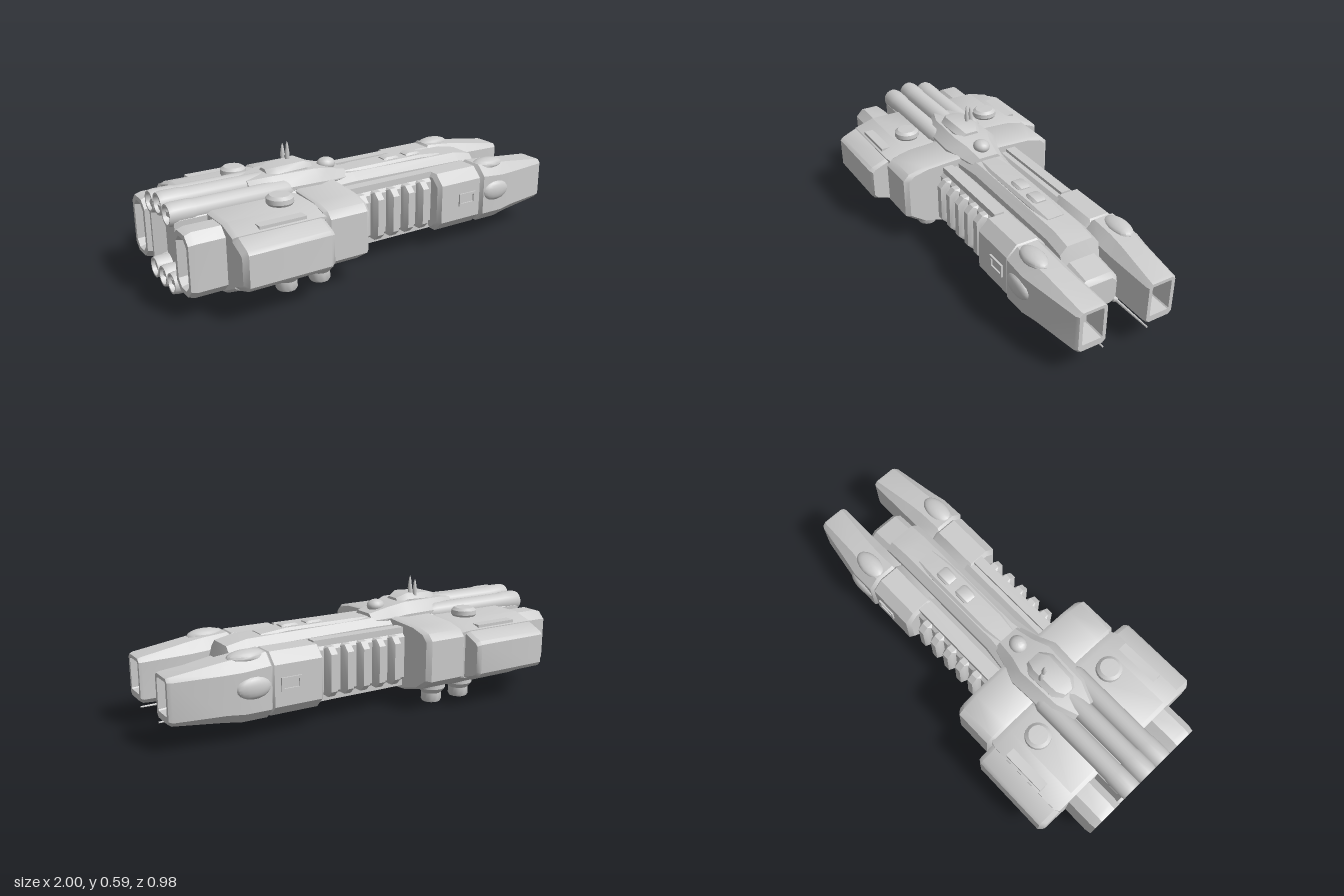
import * as THREE from 'three';
import { toCreasedNormals } from 'three/addons/utils/BufferGeometryUtils.js';

const mat = new THREE.MeshStandardMaterial({ color: 0xcccccc });

// Chamfered rectangle in (z, y), counter-clockwise
const rect = (z0, z1, y0, y1, c) => [
  [z1, y0 + c], [z1, y1 - c], [z1 - c, y1], [z0 + c, y1],
  [z0, y1 - c], [z0, y0 + c], [z0 + c, y0], [z1 - c, y0],
];
// Shrinks a cross-section about a centre, for bevelled ends
const shrink = (pts, k, cz, cy) => pts.map(([z, y]) => [cz + (z - cz) * k, cy + (y - cy) * k]);

// Skin over cross-sections [x, points] or [x, z0, z1, y0, y1, chamfer]
function loft(sections) {
  const rings = sections.map(s => [s[0], Array.isArray(s[1]) ? s[1] : rect(...s.slice(1))]);
  const n = rings[0][1].length, pos = [], idx = [];
  for (const [x, pts] of rings) for (const [z, y] of pts) pos.push(x, y, z);
  for (let i = 0; i < rings.length - 1; i++) {
    for (let j = 0; j < n; j++) {
      const a = i * n + j, b = i * n + (j + 1) % n, c = a + n, d = b + n;
      idx.push(a, c, d, a, d, b);
    }
  }
  const e = (rings.length - 1) * n;
  for (let j = 1; j < n - 1; j++) idx.push(0, j, j + 1, e, e + j + 1, e + j);
  const g = new THREE.BufferGeometry();
  g.setAttribute('position', new THREE.Float32BufferAttribute(pos, 3));
  g.setIndex(idx);
  return g;
}

// Mirrored copy across the centre plane with corners reordered
function mirrored(geo) {
  const g = geo.clone().scale(1, 1, -1), ix = g.index;
  for (let i = 0; i < ix.count; i += 3) {
    const a = ix.getX(i);
    ix.setX(i, ix.getX(i + 2));
    ix.setX(i + 2, a);
  }
  return g;
}

export function createModel() {
  const ship = new THREE.Group();
  ship.name = 'spaceship';
  const add = (name, geo) => {
    const m = new THREE.Mesh(toCreasedNormals(geo, 0.6), mat);
    m.name = name;
    ship.add(m);
  };
  const pair = (name, geo) => {
    add(name + 'Left', geo);
    add(name + 'Right', mirrored(geo));
  };
  const box = (x0, x1, y0, y1, z0, z1) => new THREE.BoxGeometry(x1 - x0, y1 - y0, z1 - z0)
    .translate((x0 + x1) / 2, (y0 + y1) / 2, (z0 + z1) / 2);
  const lathe = (pts, x, y, z) => new THREE.LatheGeometry(
    pts.map(p => new THREE.Vector2(...p)), 20).translate(x, y, z);

  // Central hull with a stepped snout
  add('hull', loft([
    [-0.45, -0.12, 0.12, 0.05, 0.42, 0.04], [-0.2, -0.12, 0.12, 0.05, 0.42, 0.04],
    [-0.06, -0.1, 0.1, 0.08, 0.41, 0.035], [0.56, -0.1, 0.1, 0.08, 0.4, 0.035],
    [0.66, -0.1, 0.1, 0.09, 0.38, 0.035], [0.68, -0.095, 0.095, 0.1, 0.31, 0.03],
    [0.8, -0.095, 0.095, 0.12, 0.29, 0.03], [0.82, -0.085, 0.085, 0.14, 0.27, 0.025],
  ]));
  add('hullSpine', loft([
    [-0.1, -0.05, 0.05, 0.38, 0.415, 0.012], [0.0, -0.06, 0.06, 0.38, 0.42, 0.012],
    [0.35, -0.06, 0.06, 0.38, 0.42, 0.012], [0.48, -0.05, 0.05, 0.38, 0.405, 0.01],
  ]));
  for (const x of [0.15, 0.28]) {
    add('spineHatch', loft([
      [x, -0.03, 0.03, 0.4, 0.425, 0.008], [x + 0.015, -0.035, 0.035, 0.4, 0.432, 0.01],
      [x + 0.07, -0.035, 0.035, 0.4, 0.432, 0.01], [x + 0.085, -0.03, 0.03, 0.4, 0.425, 0.008],
    ]));
  }

  // Forward arms: recessed rib bay, armoured block and tapering hollow prong
  pair('armCore', loft([
    [-0.22, 0.1, 0.22, 0.11, 0.37, 0.03], [0.32, 0.1, 0.22, 0.11, 0.37, 0.03],
  ]));
  pair('armBlock', loft([
    [0.29, 0.09, 0.27, 0.11, 0.36, 0.04], [0.305, 0.09, 0.29, 0.09, 0.38, 0.05],
    [0.54, 0.09, 0.29, 0.09, 0.38, 0.05], [0.555, 0.09, 0.275, 0.1, 0.365, 0.045],
  ]));
  pair('armProng', loft([
    [0.545, 0.1, 0.28, 0.1, 0.37, 0.045], [0.56, 0.1, 0.3, 0.09, 0.385, 0.05],
    [0.68, 0.1, 0.3, 0.09, 0.375, 0.05], [0.76, 0.1, 0.285, 0.1, 0.365, 0.045],
    [0.985, 0.1, 0.25, 0.125, 0.335, 0.02], [1, 0.105, 0.24, 0.135, 0.33, 0.015],
    [1, 0.122, 0.222, 0.165, 0.315, 0.005], [0.9, 0.128, 0.215, 0.175, 0.305, 0.005],
  ]));
  pair('armBlister', new THREE.SphereGeometry(1, 16, 10).scale(0.08, 0.05, 0.025).translate(0.64, 0.25, 0.295));
  pair('armTopBlister', new THREE.SphereGeometry(1, 16, 10).scale(0.09, 0.03, 0.05).translate(0.64, 0.37, 0.22));
  // Raised frame on the outer face of each arm block
  for (const y of [0.215, 0.265]) pair('portFrame', box(0.41, 0.51, y - 0.006, y + 0.006, 0.28, 0.298));
  for (const x of [0.416, 0.504]) pair('portFrame', box(x - 0.006, x + 0.006, 0.215, 0.265, 0.28, 0.298));

  // Ribs and rails in the arm bays
  for (let i = 0; i < 5; i++) {
    const x = -0.15 + i * 0.087;
    pair('rib', loft([
      [x, 0.15, 0.245, 0.13, 0.345, 0.03], [x + 0.012, 0.15, 0.265, 0.12, 0.355, 0.03],
      [x + 0.045, 0.15, 0.265, 0.12, 0.355, 0.03], [x + 0.058, 0.15, 0.245, 0.13, 0.345, 0.03],
    ]));
  }
  pair('bayRail', box(-0.2, 0.3, 0.355, 0.385, 0.155, 0.205));
  pair('bayLowerRail', box(-0.2, 0.3, 0.095, 0.125, 0.155, 0.205));

  // Thin lances under the prongs
  pair('lance', new THREE.CylinderGeometry(0.004, 0.008, 0.25, 8).rotateZ(-Math.PI / 2).translate(0.875, 0.11, 0.115));
  pair('lanceMount', new THREE.SphereGeometry(0.02, 12, 8).scale(2, 1, 1).translate(0.76, 0.11, 0.115));

  // Wide shoulder block
  const shoulder = [[0.41, 0.16], [0.41, 0.355], [0.38, 0.385], [0.3, 0.405], [0, 0.42],
    [0, 0.055], [0.2, 0.07], [0.33, 0.105]];
  pair('shoulder', loft([
    [-0.41, shrink(shoulder, 0.96, 0, 0.24)], [-0.395, shoulder],
    [-0.21, shoulder], [-0.19, shrink(shoulder, 0.95, 0, 0.24)],
  ]));

  // Side pods with outer armour
  const pod = [[0.4, 0.14], [0.4, 0.375], [0.3, 0.405], [0.1, 0.405], [0.1, 0.065], [0.27, 0.075]];
  pair('pod', loft([
    [-0.84, shrink(pod, 0.93, 0.2, 0.24)], [-0.82, pod], [-0.44, pod],
    [-0.4, shrink(pod, 0.93, 0.2, 0.24)],
  ]));
  const armour = [[0.49, 0.185], [0.49, 0.325], [0.475, 0.34], [0.39, 0.375], [0.36, 0.37],
    [0.36, 0.14], [0.39, 0.135], [0.475, 0.165]];
  pair('podArmour', loft([
    [-0.84, shrink(armour, 0.8, 0.38, 0.25)], [-0.82, armour],
    [-0.44, armour], [-0.42, shrink(armour, 0.9, 0.38, 0.25)],
  ]));
  pair('podPanel', box(-0.72, -0.5, 0.368, 0.392, 0.34, 0.39));

  // Side engines with recessed nozzles
  pair('sideEngine', loft([
    [-0.94, 0.205, 0.285, 0.15, 0.34, 0.02], [-1, 0.19, 0.3, 0.13, 0.36, 0.03],
    [-1, 0.17, 0.32, 0.11, 0.38, 0.035], [-0.97, 0.165, 0.325, 0.1, 0.39, 0.04],
    [-0.8, 0.165, 0.325, 0.1, 0.39, 0.04],
  ]));

  // Central engine block with stacked round ducts above and below
  add('engineBlock', loft([
    [-0.93, -0.11, 0.11, 0.12, 0.37, 0.03], [-0.985, -0.13, 0.13, 0.1, 0.39, 0.03],
    [-0.985, -0.145, 0.145, 0.08, 0.41, 0.03], [-0.96, -0.15, 0.15, 0.07, 0.42, 0.03],
    [-0.4, -0.15, 0.15, 0.07, 0.42, 0.03],
  ]));
  const duct = (x0, x1, r, y, z) => lathe([
    [0, x0 + 0.05], [r * 0.65, x0 + 0.05], [r * 0.75, x0], [r * 0.92, x0], [r, x0 + 0.02],
    [r, x0 + 0.1], [r * 0.93, x0 + 0.12], [r * 0.93, x1 - 0.05], [r * 0.5, x1], [0, x1],
  ], 0, 0, 0).rotateZ(-Math.PI / 2).translate(0, y, z);
  add('topDuct', duct(-1, -0.4, 0.053, 0.425, 0));
  pair('topSideDuct', duct(-1, -0.4, 0.053, 0.405, 0.098));
  add('bottomDuct', duct(-1, -0.15, 0.05, 0.09, 0));
  pair('bottomSideDuct', duct(-1, -0.2, 0.05, 0.095, 0.098));

  // Command tower on the spine
  add('towerBase', loft([
    [-0.6, -0.07, 0.07, 0.38, 0.46, 0.03], [-0.5, -0.13, 0.13, 0.36, 0.475, 0.05],
    [-0.28, -0.14, 0.14, 0.36, 0.475, 0.05], [-0.2, -0.11, 0.11, 0.36, 0.455, 0.045],
    [-0.1, -0.08, 0.08, 0.36, 0.43, 0.03],
  ]));
  add('towerTop', loft([
    [-0.5, -0.04, 0.04, 0.43, 0.49, 0.02], [-0.46, -0.07, 0.07, 0.43, 0.5, 0.025],
    [-0.32, -0.075, 0.075, 0.43, 0.507, 0.025], [-0.27, -0.05, 0.05, 0.43, 0.485, 0.02],
  ]));
  add('towerDome', new THREE.SphereGeometry(0.045, 18, 10).scale(1, 0.7, 0.9).translate(-0.17, 0.455, 0));
  for (const [x, z, h] of [[-0.36, -0.025, 0.1], [-0.37, -0.052, 0.085]]) {
    add('antenna', lathe([[0, 0], [0.009, 0], [0.011, h * 0.4], [0.005, h * 0.85], [0, h]], x, 0.49, z));
  }

  // Domed turrets on the pods and stub mounts below
  pair('topTurret', lathe([[0, 0], [0.05, 0], [0.062, 0.02], [0.06, 0.04], [0.045, 0.052], [0, 0.053]], -0.54, 0.395, 0.23));
  for (const x of [-0.52, -0.35]) {
    pair('bottomMount', lathe([[0, 0.002], [0.045, 0], [0.05, 0.01], [0.048, 0.045], [0.068, 0.07], [0.068, 0.1], [0, 0.1]], x, 0, 0.23));
  }
  return ship;
}
